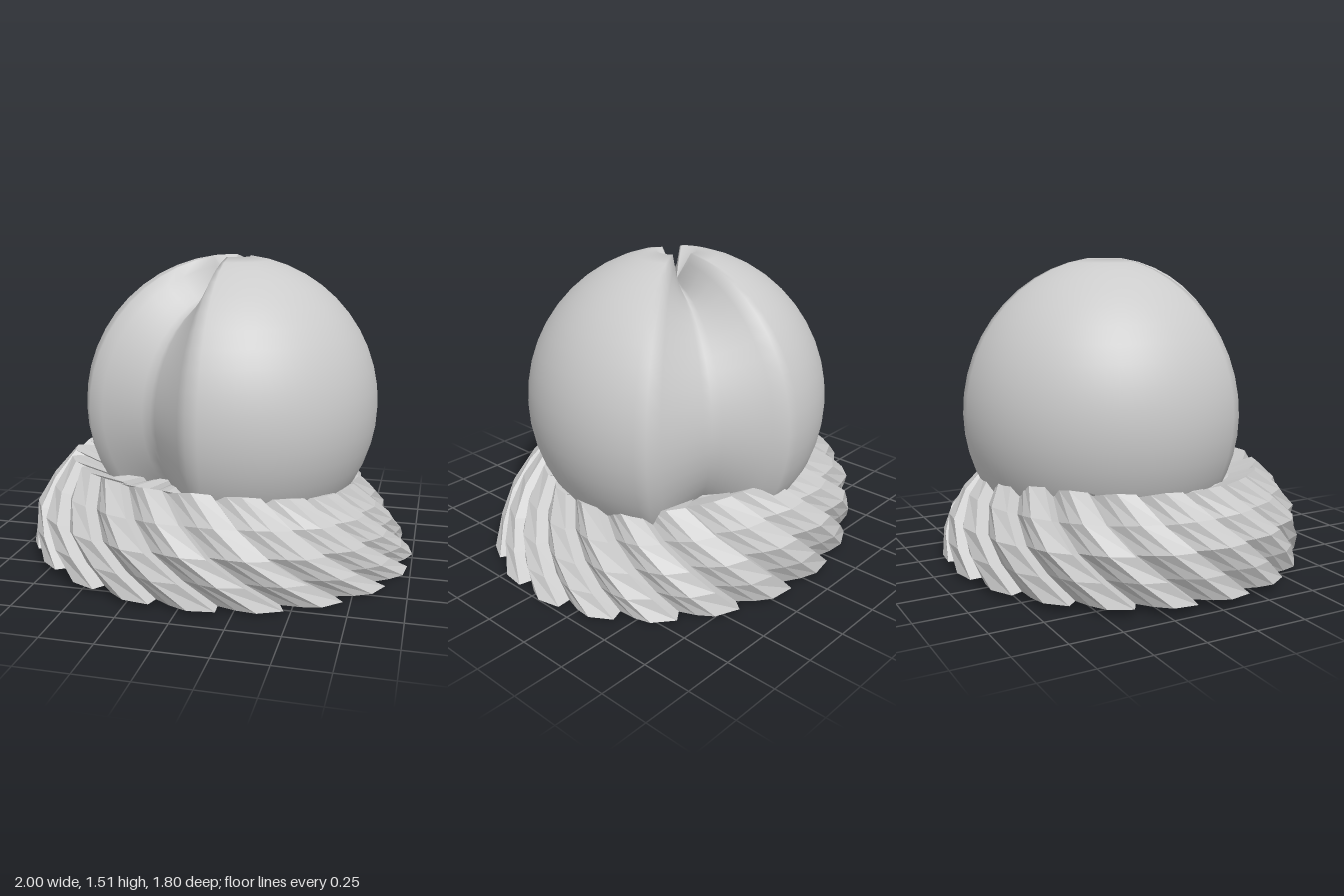
import * as THREE from 'three';

const rad = THREE.MathUtils.degToRad;

// Closed skin around the y axis: rows run upward, point(row, col) gives each vertex
function skin(rows, cols, point) {
  const pos = [], idx = [];
  for (let i = 0; i < rows; i++)
    for (let j = 0; j < cols; j++) pos.push(...point(i, j));
  for (let i = 0; i < rows - 1; i++)
    for (let j = 0; j < cols; j++) {
      const k = (j + 1) % cols;
      const a = i * cols + j, b = a + cols, c = (i + 1) * cols + k, d = i * cols + k;
      idx.push(a, b, c, a, c, d);
    }
  const g = new THREE.BufferGeometry();
  g.setAttribute('position', new THREE.Float32BufferAttribute(pos, 3));
  g.setIndex(idx);
  g.computeVertexNormals();
  return g;
}

// Round body with two opposite V grooves that meet in a dimple at the pole
function bodyGeometry() {
  const R = 0.75, depth = 0.76, half = rad(27), grooveAngle = -59.4;
  const rows = 25, cols = 80;
  const groove = (deg) => {
    const d = rad(Math.abs(((deg % 180) + 270) % 180 - 90));
    if (d >= half) return 1;
    return depth * Math.sin(half) /
      (Math.cos(d) * Math.sin(half) - Math.sin(d) * (Math.cos(half) - depth));
  };
  return skin(rows, cols, (i, j) => {
    const phi = Math.PI * (1 - i / (rows - 1));
    const deg = j * 360 / cols;
    const pole = i === 0 || i === rows - 1;
    const r = R * (pole ? 0.8 : groove(deg));
    const t = rad(deg + grooveAngle);
    return [
      0.04 + r * Math.sin(phi) * Math.cos(t),
      0.77 + r * Math.cos(phi),
      -0.05 + r * Math.sin(phi) * Math.sin(t),
    ];
  });
}

// Flared base with twisted saw-tooth ridges; the rim dips on the +x side
function baseGeometry() {
  const teeth = 20, step = 360 / teeth, twist = 35;
  // Saw-tooth section: [angle within tooth, radius factor]
  const tooth = [[0, 0.92], [0.6, 0.99], [8, 1], [13, 0.965]];
  // Height fraction, x radius, z radius
  const profile = [
    [0, 0, 0], [0, 1, 0.9], [0.25, 0.97, 0.9], [0.5, 0.93, 0.88],
    [0.75, 0.85, 0.8], [1, 0.75, 0.68], [0.88, 0.6, 0.55], [0.88, 0, 0],
  ];
  return skin(profile.length, teeth * tooth.length, (i, j) => {
    const [h, rx, rz] = profile[i];
    const [offset, f] = tooth[j % tooth.length];
    const a = rad(Math.floor(j / tooth.length) * step + 7 + offset + twist * h);
    const x = -0.04 * Math.min(1, 2 * h) + rx * f * Math.cos(a);
    const z = rz * f * Math.sin(a);
    const low = 0.02 - 0.02 * x;
    const high = 0.48 - 0.16 * Math.pow(Math.max(0, x), 1.5) + (f - 0.96) * 0.4;
    return [x, low + (high - low) * h, z];
  });
}

export function createModel() {
  const group = new THREE.Group();

  const body = new THREE.Mesh(
    bodyGeometry(),
    new THREE.MeshStandardMaterial({ color: 0xcccccc }));
  body.name = 'groovedBody';

  const base = new THREE.Mesh(
    baseGeometry(),
    new THREE.MeshStandardMaterial({ color: 0xcccccc, flatShading: true }));
  base.name = 'twistedBase';

  group.add(body, base);
  return group;
}
